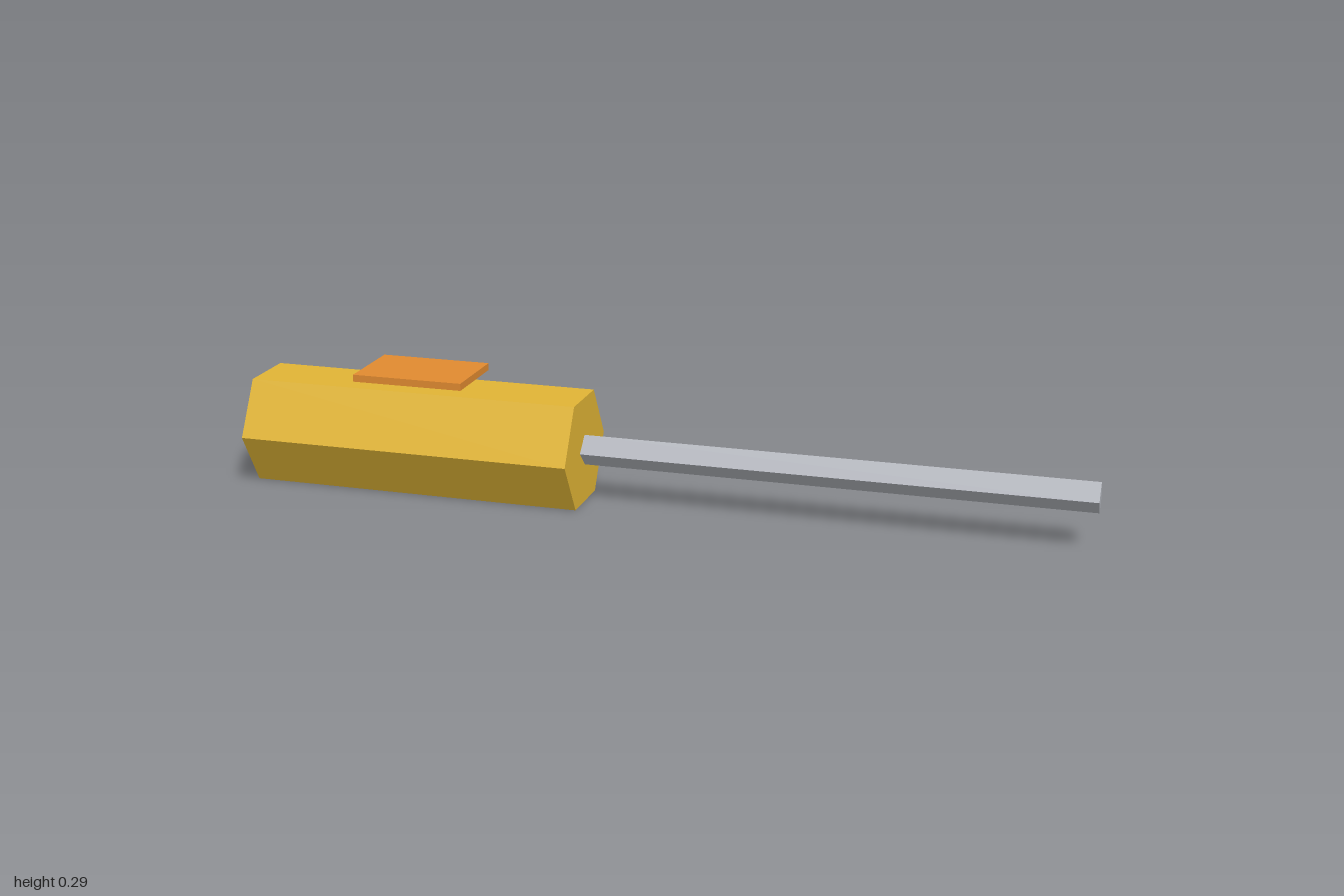
import * as THREE from 'three';

const AXIS_Y = 0.126; // height of the shared handle and shaft axis

function material(color) {
  return new THREE.MeshStandardMaterial({ color, flatShading: true });
}

// Prism lying along x from x0 to x1, with corners pointing to +z and -z
function prism(name, sides, radius, x0, x1, color) {
  const geometry = new THREE.CylinderGeometry(radius, radius, x1 - x0, sides);
  geometry.rotateZ(-Math.PI / 2);
  const mesh = new THREE.Mesh(geometry, material(color));
  mesh.name = name;
  mesh.position.set((x0 + x1) / 2, AXIS_Y, 0);
  return mesh;
}

export function createModel() {
  const model = new THREE.Group();
  model.name = 'screwdriver';

  // Hexagonal grip and slim square shaft
  model.add(prism('handle', 6, 0.1455, -1, -0.187, 0xe0b435));
  model.add(prism('shaft', 4, 0.0364, -0.187, 1, 0xb0b3ba));

  // Thin plate hovering just above the grip
  const plate = new THREE.Mesh(new THREE.BoxGeometry(0.27, 0.017, 0.182), material(0xe08a30));
  plate.name = 'topPlate';
  plate.position.set(-0.593, 0.2815, 0);
  model.add(plate);

  return model;
}
